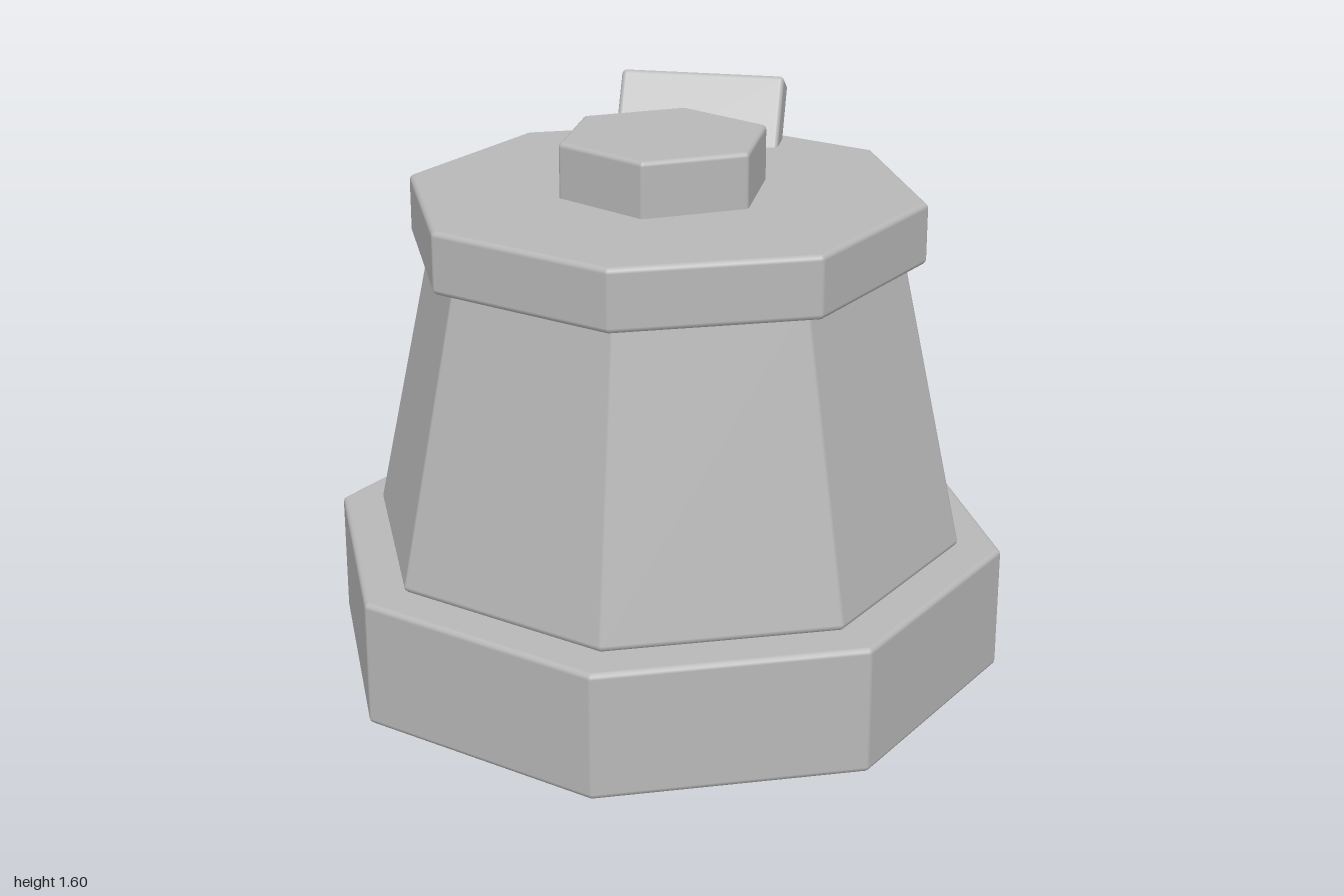
import * as THREE from 'three';
import { RoundedBoxGeometry } from 'three/addons/geometries/RoundedBoxGeometry.js';

const STEPS = 3; // segments in each rounded edge

// Tapered n-sided prism with every edge rounded by radius b; a corner points to +z.
function roundedPrism(n, r0, r1, y0, y1, b) {
  const pos = [], nor = [], index = [];
  const cols = n * (STEPS + 1);
  const tilt = Math.atan2((r0 - r1) * Math.cos(Math.PI / n), y1 - y0);

  // Levels: lower rounded edge, then upper rounded edge
  const levels = [];
  for (let k = 0; k <= STEPS; k++) {
    levels.push([r0 - b, y0 + b, THREE.MathUtils.lerp(-Math.PI / 2, tilt, k / STEPS)]);
  }
  for (let k = 0; k <= STEPS; k++) {
    levels.push([r1 - b, y1 - b, THREE.MathUtils.lerp(tilt, Math.PI / 2, k / STEPS)]);
  }

  for (const [r, y, phi] of levels) {
    for (let i = 0; i < n; i++) {
      const a = Math.PI / 2 + (i / n) * Math.PI * 2;
      for (let j = 0; j <= STEPS; j++) {
        const t = a + (j / STEPS - 0.5) * (Math.PI * 2 / n);
        const nx = Math.cos(t) * Math.cos(phi), ny = Math.sin(phi), nz = Math.sin(t) * Math.cos(phi);
        pos.push(Math.cos(a) * r + nx * b, y + ny * b, Math.sin(a) * r + nz * b);
        nor.push(nx, ny, nz);
      }
    }
  }

  // Walls
  for (let l = 0; l < levels.length - 1; l++) {
    for (let c = 0; c < cols; c++) {
      const p = l * cols + c, q = l * cols + (c + 1) % cols;
      index.push(p, p + cols, q, q, p + cols, q + cols);
    }
  }

  // Flat ends
  const bottom = pos.length / 3, top = bottom + 1, last = (levels.length - 1) * cols;
  pos.push(0, y0, 0, 0, y1, 0);
  nor.push(0, -1, 0, 0, 1, 0);
  for (let c = 0; c < cols; c++) {
    const d = (c + 1) % cols;
    index.push(bottom, c, d, top, last + d, last + c);
  }

  const g = new THREE.BufferGeometry();
  g.setAttribute('position', new THREE.Float32BufferAttribute(pos, 3));
  g.setAttribute('normal', new THREE.Float32BufferAttribute(nor, 3));
  g.setIndex(index);
  return g;
}

export function createModel() {
  const model = new THREE.Group();
  const grey = new THREE.MeshStandardMaterial({ color: 0xb8b8b8 });
  grey.name = 'grey';

  const add = (name, geometry) => {
    const mesh = new THREE.Mesh(geometry, grey);
    mesh.name = name;
    model.add(mesh);
    return mesh;
  };

  // Octagonal stack
  add('base', roundedPrism(8, 1.0, 1.0, 0, 0.375, 0.016));
  add('body', roundedPrism(8, 0.873, 0.685, 0.375, 1.28, 0.016));
  add('lid', roundedPrism(8, 0.75, 0.75, 1.232, 1.412, 0.016));

  // Hexagonal knob on the lid
  add('knob', roundedPrism(6, 0.308, 0.308, 1.37, 1.572, 0.014));

  // Tab leaning backwards out of the lid
  const tab = add('tab', new RoundedBoxGeometry(0.5, 0.3, 0.1, 3, 0.015));
  tab.position.set(0, 1.452, -0.57);
  tab.rotation.x = -Math.PI / 6;

  return model;
}
